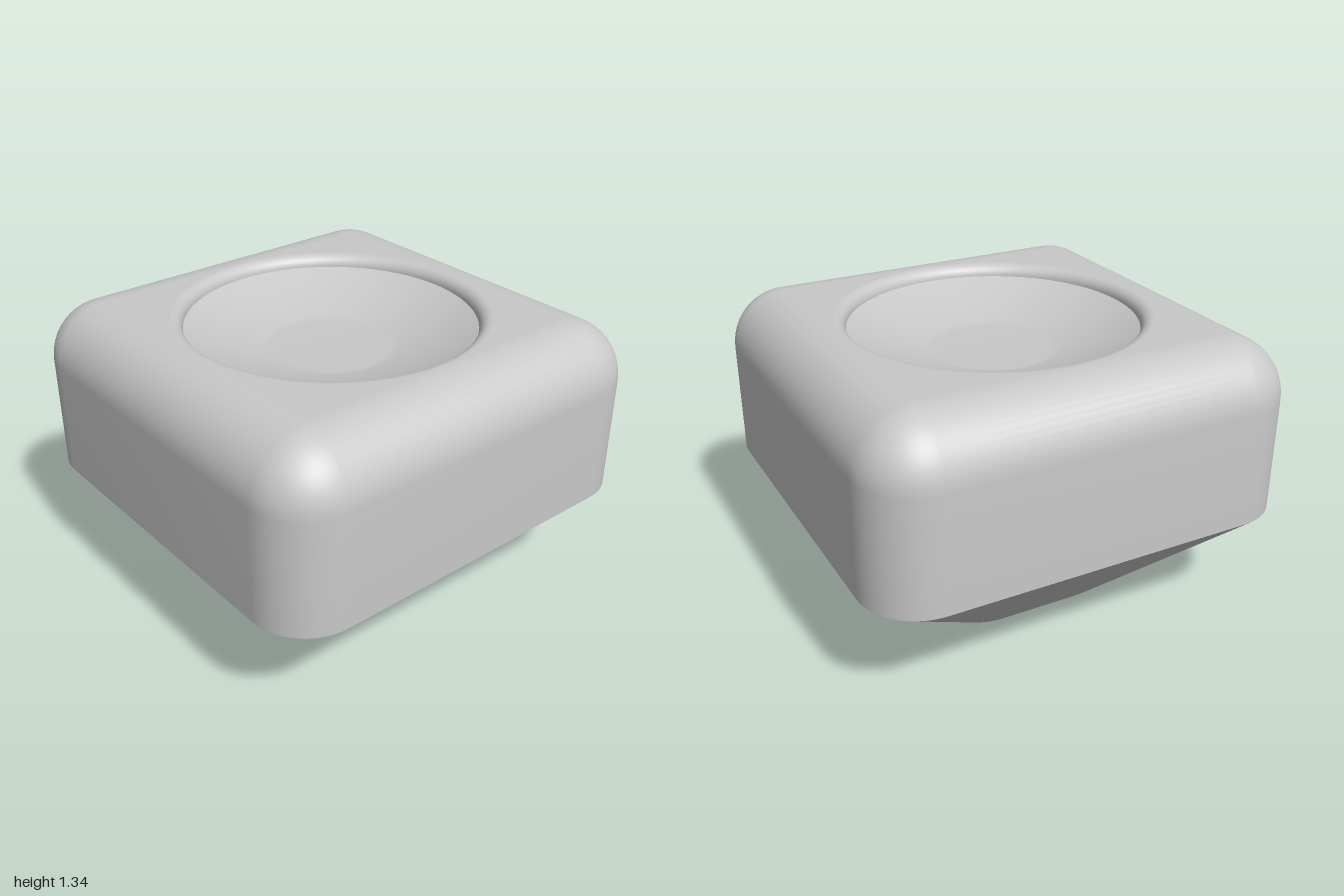
import * as THREE from 'three';
import { toCreasedNormals } from 'three/addons/utils/BufferGeometryUtils.js';

const CORNER = 0.27, INNER = 0.73, TOP = 1.335, WAIST = 0.53;
const FOOT_INNER = 0.2, SOCKET = 0.33, SOCKET_DEPTH = 0.38;
const RIM = 0.667, LIP = 0.055, DISH_FLAT = 0.27, DISH_CURVE = 1.55;
const STEPS = 14, ROUND = 128;

// Outline of a square with half-size c, grown outward by radius r
function outline(c, r) {
  const points = [];
  for (let q = 0; q < 4; q++) {
    const mid = q * Math.PI / 2 + Math.PI / 4;
    for (let i = 0; i <= STEPS; i++) {
      const a = (q + i / STEPS) * Math.PI / 2;
      points.push(new THREE.Vector2(
        Math.sign(Math.cos(mid)) * c + Math.cos(a) * r,
        Math.sign(Math.sin(mid)) * c + Math.sin(a) * r));
    }
  }
  return points;
}

// Skin through stacked outlines given as [c, r, y], bottom to top
function loft(sections) {
  const positions = [], index = [];
  const n = 4 * (STEPS + 1);
  sections.forEach(([c, r, y], s) => {
    outline(c, r).forEach((p, i) => {
      positions.push(p.x, y, p.y);
      if (s === sections.length - 1) return;
      const a = s * n + i, b = s * n + (i + 1) % n;
      index.push(a, a + n, b, b, a + n, b + n);
    });
  });
  const g = new THREE.BufferGeometry();
  g.setAttribute('position', new THREE.Float32BufferAttribute(positions, 3));
  g.setIndex(index);
  return toCreasedNormals(g, 0.6);
}

export function createModel() {
  const group = new THREE.Group();
  const grey = new THREE.MeshStandardMaterial({ color: 0xc8c8c8 });
  grey.name = 'light grey';
  const add = (name, geometry, parent = group) => {
    const mesh = new THREE.Mesh(geometry, grey);
    mesh.name = name;
    parent.add(mesh);
    return mesh;
  };

  // Tapered base
  add('taperedBase', loft([[FOOT_INNER, CORNER, 0], [INNER, CORNER, WAIST]]));

  // Upright walls and rounded shoulders
  const sections = [[INNER, CORNER, WAIST]];
  for (let i = 0; i <= STEPS; i++) {
    const a = i / STEPS * Math.PI / 2;
    sections.push([INNER, CORNER * Math.cos(a), TOP - CORNER + CORNER * Math.sin(a)]);
  }
  add('body', loft(sections));

  // Flat top around the round dish
  const topShape = new THREE.Shape();
  topShape.moveTo(-INNER, -INNER).lineTo(INNER, -INNER).lineTo(INNER, INNER).lineTo(-INNER, INNER).closePath();
  topShape.holes.push(new THREE.Path().absarc(0, 0, RIM + LIP, 0, Math.PI * 2, true));
  add('topFace', new THREE.ShapeGeometry(topShape, ROUND / 2).rotateX(-Math.PI / 2)).position.y = TOP;

  // Rounded lip falling into the dish
  const lip = [];
  for (let i = 0; i <= 8; i++) {
    const a = i / 8 * Math.PI / 2;
    lip.push(new THREE.Vector2(RIM + LIP * (1 - Math.sin(a)), TOP - LIP * (1 - Math.cos(a))));
  }
  add('dishLip', new THREE.LatheGeometry(lip, ROUND));

  // Shallow curved dish with a flat centre
  const dish = [];
  for (let i = 0; i <= 10; i++) {
    const r = RIM + (DISH_FLAT - RIM) * i / 10;
    dish.push(new THREE.Vector2(r, TOP - LIP - (RIM * RIM - r * r) / (2 * DISH_CURVE)));
  }
  dish.push(new THREE.Vector2(0, dish[10].y));
  add('dish', new THREE.LatheGeometry(dish, ROUND));

  // Underside with a square opening
  const footShape = new THREE.Shape(outline(FOOT_INNER, CORNER));
  footShape.holes.push(new THREE.Path([[-1, -1], [-1, 1], [1, 1], [1, -1]]
    .map(([x, y]) => new THREE.Vector2(x * SOCKET, y * SOCKET))));
  add('underside', new THREE.ShapeGeometry(footShape).rotateX(Math.PI / 2));

  // Square socket: four inward walls and a ceiling
  const socket = new THREE.Group();
  socket.name = 'socket';
  group.add(socket);
  for (let i = 0; i < 4; i++) {
    add('socketWall', new THREE.PlaneGeometry(2 * SOCKET, SOCKET_DEPTH)
      .translate(0, SOCKET_DEPTH / 2, -SOCKET).rotateY(i * Math.PI / 2), socket);
  }
  add('socketCeiling', new THREE.PlaneGeometry(2 * SOCKET, 2 * SOCKET).rotateX(Math.PI / 2), socket)
    .position.y = SOCKET_DEPTH;

  return group;
}
